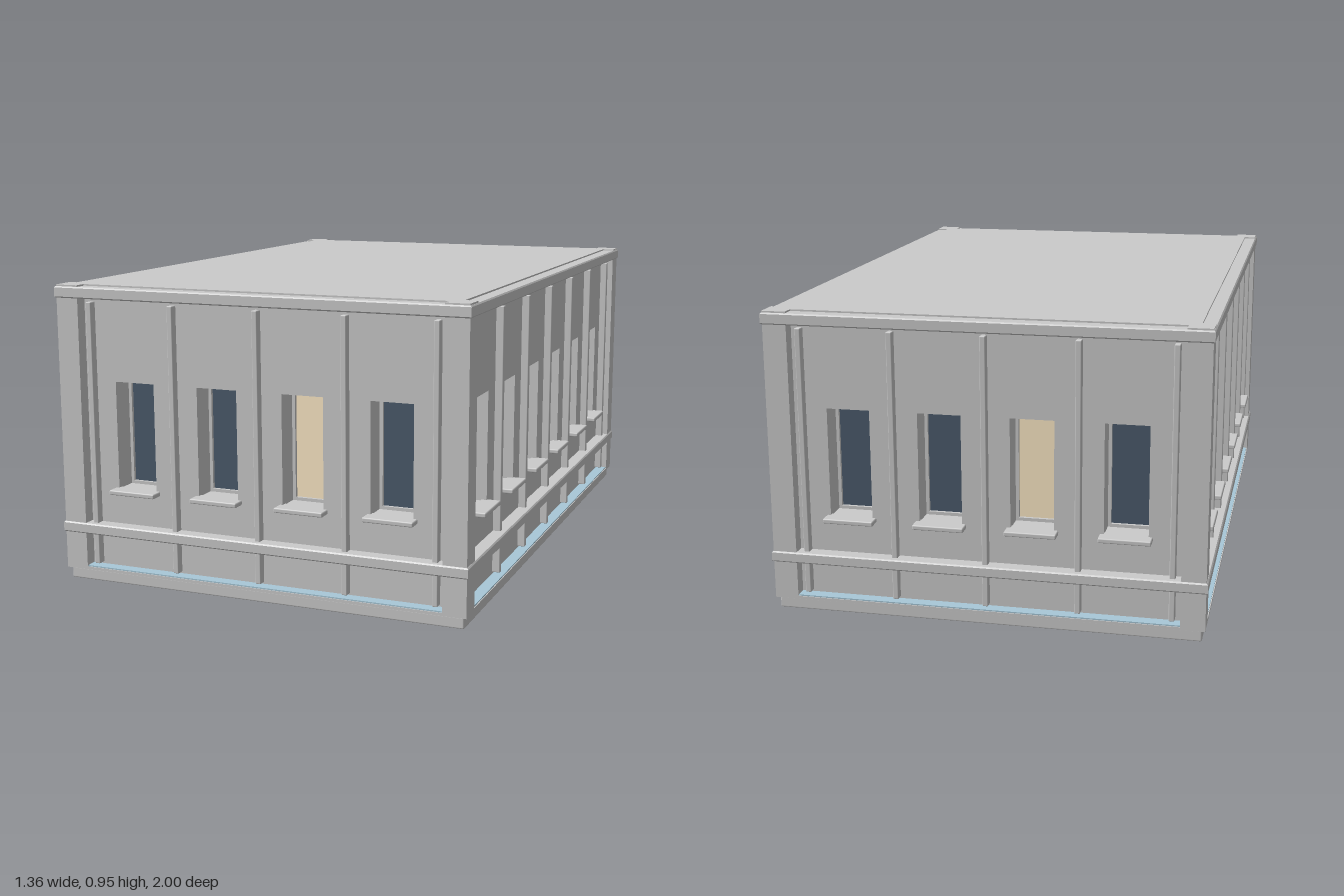
import * as THREE from 'three';
import { RoundedBoxGeometry } from 'three/addons/geometries/RoundedBoxGeometry.js';

const HX = 0.635, HZ = 0.955; // wall faces
const WIN = { w: 0.135, y0: 0.305, y1: 0.65, depth: 0.085 };

const paint = (color) => new THREE.MeshStandardMaterial({ color });
const grey = paint(0xcccccc);
const darkGlass = paint(0x4b5b6c);
const litGlass = paint(0xffecc8);
const paleBlue = paint(0xa8c8d8);

function add(parent, name, geometry, material = grey) {
  const mesh = new THREE.Mesh(geometry, material);
  mesh.name = name;
  parent.add(mesh);
  return mesh;
}

// Box given by its minimum and maximum corners, optionally with softened edges
function box(parent, name, min, max, material = grey, bevel = 0) {
  const s = max.map((v, i) => v - min[i]);
  const geometry = bevel ? new RoundedBoxGeometry(...s, 1, bevel) : new THREE.BoxGeometry(...s);
  const mesh = add(parent, name, geometry, material);
  mesh.position.set(...max.map((v, i) => (v + min[i]) / 2));
  return mesh;
}

function rectangle(target, x0, y0, x1, y1) {
  target.moveTo(x0, y0);
  target.lineTo(x1, y0);
  target.lineTo(x1, y1);
  target.lineTo(x0, y1);
  target.closePath();
  return target;
}

// Horizontal band running round the whole building
function band(parent, name, y0, y1, hx, hz) {
  const b = 0.004;
  const shape = rectangle(new THREE.Shape(), -hx, -hz, hx, hz);
  shape.holes.push(rectangle(new THREE.Path(), 0.06 - hx, 0.06 - hz, hx - 0.06, hz - 0.06));
  const geometry = new THREE.ExtrudeGeometry(shape, {
    depth: y1 - y0 - 2 * b, bevelThickness: b, bevelSize: b, bevelOffset: -b, bevelSegments: 1,
  });
  geometry.rotateX(-Math.PI / 2).translate(0, y0 + b, 0);
  add(parent, name, geometry);
}

// One window: glass, slim frame and projecting sill, with the wall face at z = 0
function makeWindow(lit) {
  const g = new THREE.Group();
  g.name = 'window';
  const { w, y0, y1, depth } = WIN, h = w / 2, f = 0.01;
  box(g, 'glass', [-h, y0, -depth - 0.01], [h, y1, -depth], lit ? litGlass : darkGlass);
  const frame = rectangle(new THREE.Shape(), -h, y0, h, y1);
  frame.holes.push(rectangle(new THREE.Path(), f - h, y0 + f, h - f, y1 - f));
  const ring = add(g, 'frame', new THREE.ExtrudeGeometry(frame, { depth: 0.01, bevelEnabled: false }));
  ring.position.z = -depth;
  box(g, 'sill', [-0.08, 0.293, -0.02], [0.08, 0.308, 0.042], grey, 0.004);
  return g;
}

// One facade facing +z, with a window in each bay and pilasters between bays
function makeFacade(name, half, distance, spacing, lit) {
  const g = new THREE.Group();
  g.name = name;
  const n = lit.length;
  const wall = rectangle(new THREE.Shape(), -half, 0.04, half, 0.94);
  for (let i = 0; i < n; i++) {
    const x = (i - (n - 1) / 2) * spacing;
    wall.holes.push(rectangle(new THREE.Path(), x - WIN.w / 2, WIN.y0, x + WIN.w / 2, WIN.y1));
    const win = makeWindow(lit[i]);
    win.position.set(x, 0, distance);
    g.add(win);
  }
  const panel = add(g, 'wall', new THREE.ExtrudeGeometry(wall, { depth: 0.1, bevelEnabled: false }));
  panel.position.z = distance - 0.1;
  for (let i = 0; i <= n; i++) {
    const x = (i - n / 2) * spacing;
    box(g, 'pilaster', [x - 0.009, 0.055, distance - 0.01], [x + 0.009, 0.9, distance + 0.025], grey, 0.003);
  }
  return g;
}

export function createModel() {
  const model = new THREE.Group();
  model.name = 'building';

  // Plinth, ledge and pale strip on top of it
  box(model, 'plinth', [-0.665, 0, -0.985], [0.665, 0.037, 0.985], grey, 0.005);
  box(model, 'ledge', [-0.675, 0.037, -0.995], [0.675, 0.046, 0.995]);
  box(model, 'ledgeTop', [-0.672, 0.046, -0.992], [0.672, 0.05, 0.992], paleBlue);

  // Facades: opposite sides repeat by half a turn
  const ends = [0, 0, 1, 0], sides = [1, 0, 0, 0, 1, 0];
  for (let turn = 0; turn < 2; turn++) {
    const end = makeFacade(turn ? 'backFacade' : 'frontFacade', 0.61, HZ, 0.286, ends);
    const side = makeFacade(turn ? 'rightFacade' : 'leftFacade', 0.93, HX, 0.297, sides);
    end.rotation.y = turn * Math.PI;
    side.rotation.y = turn * Math.PI + Math.PI / 2;
    model.add(end, side);
  }

  // Corner piers
  for (const sx of [-1, 1]) {
    for (const sz of [-1, 1]) {
      const pier = box(model, 'cornerPier', [0.6, 0.045, 0.92], [0.675, 0.953, 0.995]);
      pier.position.x *= sx;
      pier.position.z *= sz;
    }
  }

  // Roof, cornice and belt course
  box(model, 'roof', [-HX, 0.92, -HZ], [HX, 0.953, HZ]);
  band(model, 'cornice', 0.912, 0.948, 0.68, 1);
  band(model, 'beltCourse', 0.157, 0.191, 0.68, 1);

  return model;
}
